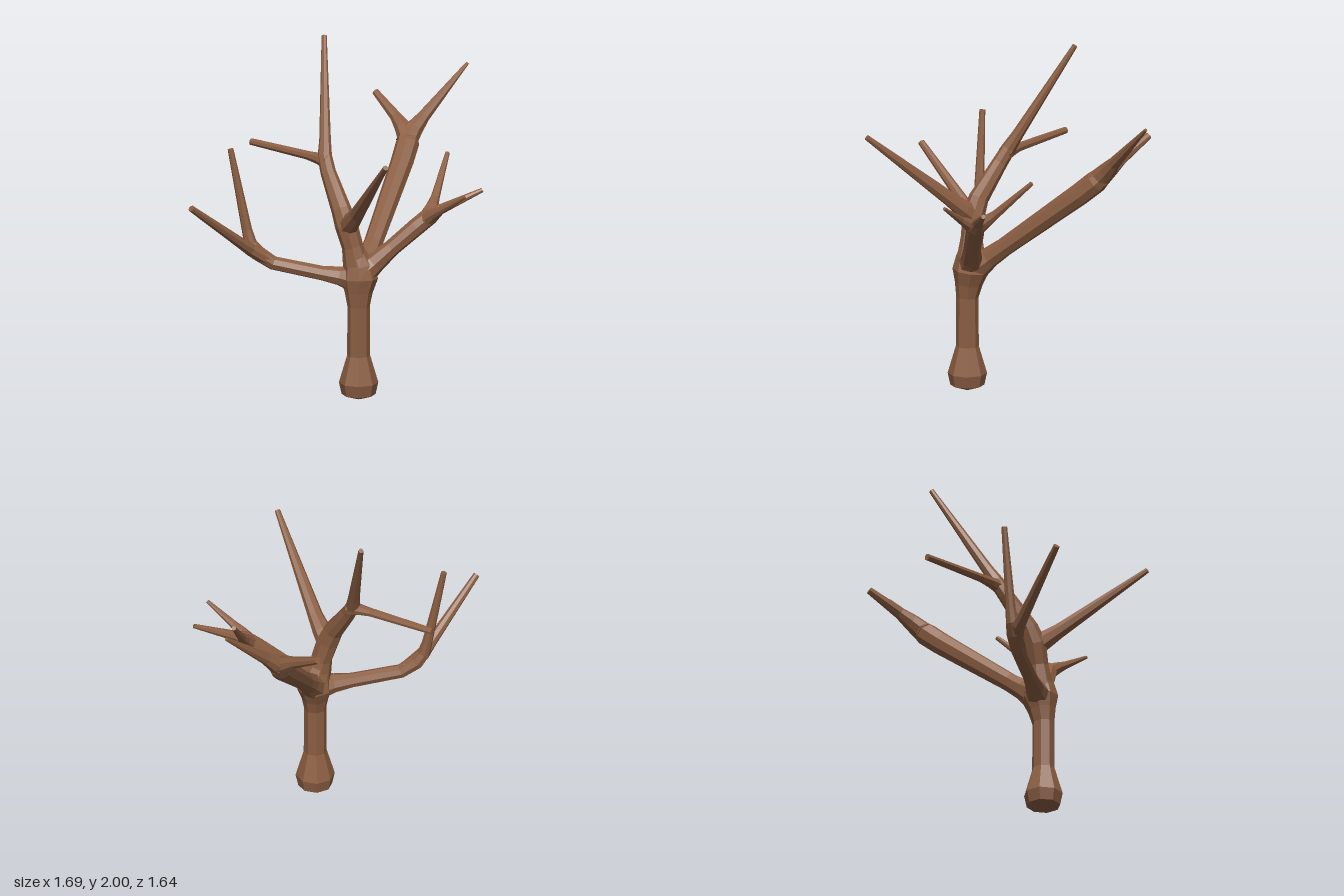
import * as THREE from 'three';

const SIDES = 8;
const bark = new THREE.MeshStandardMaterial({ color: 0x8b5e42, flatShading: true, roughness: 0.9 });

// Lofts an eight-sided limb through stations [x, y, z, radius], closed at both ends
function limb(name, stations) {
  const pts = stations.map(s => new THREE.Vector3(s[0], s[1], s[2]));
  const n = pts.length, pos = [], idx = [];
  let side = new THREE.Vector3(1, 0, 0);
  let prev = null;
  pts.forEach((p, i) => {
    const before = pts[Math.max(i - 1, 0)], after = pts[Math.min(i + 1, n - 1)];
    const a = p.clone().sub(before).normalize(), b = after.clone().sub(p).normalize();
    const t = a.add(b).normalize();
    // carry the frame along the path so the limb does not twist
    if (prev) side.applyQuaternion(new THREE.Quaternion().setFromUnitVectors(prev, t));
    else if (Math.abs(t.x) > 0.8) side.set(0, 0, 1);
    side.addScaledVector(t, -side.dot(t)).normalize();
    prev = t;
    const up = t.clone().cross(side);
    for (let k = 0; k < SIDES; k++) {
      const ang = k / SIDES * Math.PI * 2;
      const v = p.clone()
        .addScaledVector(side, Math.cos(ang) * stations[i][3])
        .addScaledVector(up, Math.sin(ang) * stations[i][3]);
      pos.push(v.x, v.y, v.z);
    }
  });
  for (let i = 0; i < n - 1; i++) {
    for (let k = 0; k < SIDES; k++) {
      const a = i * SIDES + k, b = i * SIDES + (k + 1) % SIDES;
      idx.push(a, b, b + SIDES, a, b + SIDES, a + SIDES);
    }
  }
  // end caps
  const last = (n - 1) * SIDES;
  for (let k = 1; k < SIDES - 1; k++) {
    idx.push(0, k + 1, k, last, last + k, last + k + 1);
  }
  const geo = new THREE.BufferGeometry();
  geo.setAttribute('position', new THREE.Float32BufferAttribute(pos, 3));
  geo.setIndex(idx);
  geo.computeVertexNormals();
  const mesh = new THREE.Mesh(geo, bark);
  mesh.name = name;
  return mesh;
}

export function createModel() {
  const tree = new THREE.Group();
  tree.name = 'bareTree';
  const add = (name, ...stations) => tree.add(limb(name, stations));

  // Trunk with flared foot and swollen crown
  add('trunk', [0.13, 0, 0.23, 0.012], [0.13, 0.03, 0.23, 0.098], [0.13, 0.1, 0.23, 0.113],
    [0.13, 0.26, 0.23, 0.066], [0.13, 0.55, 0.23, 0.064], [0.13, 0.63, 0.222, 0.08],
    [0.135, 0.71, 0.21, 0.106], [0.13, 0.79, 0.205, 0.09], [0.11, 0.86, 0.205, 0.062]);

  // Middle limb rising to the highest tip, with a side twig and a forward limb
  add('middleLimb', [0.12, 0.78, 0.21, 0.08], [0.095, 0.9, 0.205, 0.062], [0.06, 1.02, 0.195, 0.066],
    [0.03, 1.11, 0.165, 0.058], [-0.045, 1.3, 0.045, 0.045], [-0.064, 1.38, -0.005, 0.042],
    [-0.062, 1.46, -0.055, 0.034], [-0.067, 1.99, -0.385, 0.015]);
  add('middleTwig', [-0.045, 1.35, 0.02, 0.045], [-0.1, 1.36, -0.025, 0.034],
    [-0.16, 1.365, -0.07, 0.026], [-0.485, 1.375, -0.325, 0.02]);
  add('frontLimb', [0.06, 1.0, 0.185, 0.06], [0.09, 1.06, 0.25, 0.055],
    [0.12, 1.12, 0.32, 0.044], [0.285, 1.535, 0.805, 0.016]);

  // Right-hand limb and its fork
  add('rightLimb', [0.11, 0.71, 0.21, 0.085], [0.02, 0.725, 0.205, 0.056], [-0.08, 0.74, 0.2, 0.043],
    [-0.36, 0.795, 0.18, 0.041], [-0.45, 0.855, 0.18, 0.046], [-0.49, 0.91, 0.175, 0.038],
    [-0.51, 0.99, 0.17, 0.03], [-0.604, 1.465, 0.152, 0.017]);
  add('rightTwig', [-0.39, 0.815, 0.18, 0.04], [-0.49, 0.885, 0.21, 0.04],
    [-0.54, 0.93, 0.255, 0.033], [-0.83, 1.21, 0.505, 0.019]);

  // Left-hand limb ending in three twigs
  add('leftLimb', [0.13, 0.73, 0.21, 0.09], [0.22, 0.8, 0.205, 0.062], [0.32, 0.89, 0.2, 0.049],
    [0.46, 1.01, 0.185, 0.052], [0.54, 1.075, 0.175, 0.052], [0.6, 1.11, 0.165, 0.03],
    [0.84, 1.215, 0.13, 0.013]);
  add('leftBackTwig', [0.51, 1.05, 0.18, 0.048], [0.55, 1.11, 0.12, 0.037],
    [0.57, 1.155, 0.065, 0.026], [0.64, 1.36, -0.145, 0.013]);
  add('leftFrontTwig', [0.51, 1.05, 0.18, 0.048], [0.555, 1.095, 0.22, 0.035],
    [0.6, 1.13, 0.26, 0.023], [0.738, 1.235, 0.355, 0.01]);

  // Back limb, thickening towards its wide fork
  add('backLimb', [0.14, 0.72, 0.2, 0.09], [0.18, 0.8, 0.1, 0.062], [0.215, 0.87, 0.015, 0.055],
    [0.38, 1.23, -0.42, 0.066], [0.41, 1.31, -0.51, 0.067], [0.425, 1.37, -0.57, 0.05]);
  add('backLeftTwig', [0.4, 1.31, -0.51, 0.062], [0.45, 1.385, -0.575, 0.053],
    [0.505, 1.445, -0.615, 0.037], [0.755, 1.71, -0.8, 0.01]);
  add('backRightTwig', [0.42, 1.32, -0.52, 0.062], [0.385, 1.385, -0.595, 0.05],
    [0.345, 1.43, -0.655, 0.035], [0.228, 1.535, -0.81, 0.021]);

  return tree;
}
